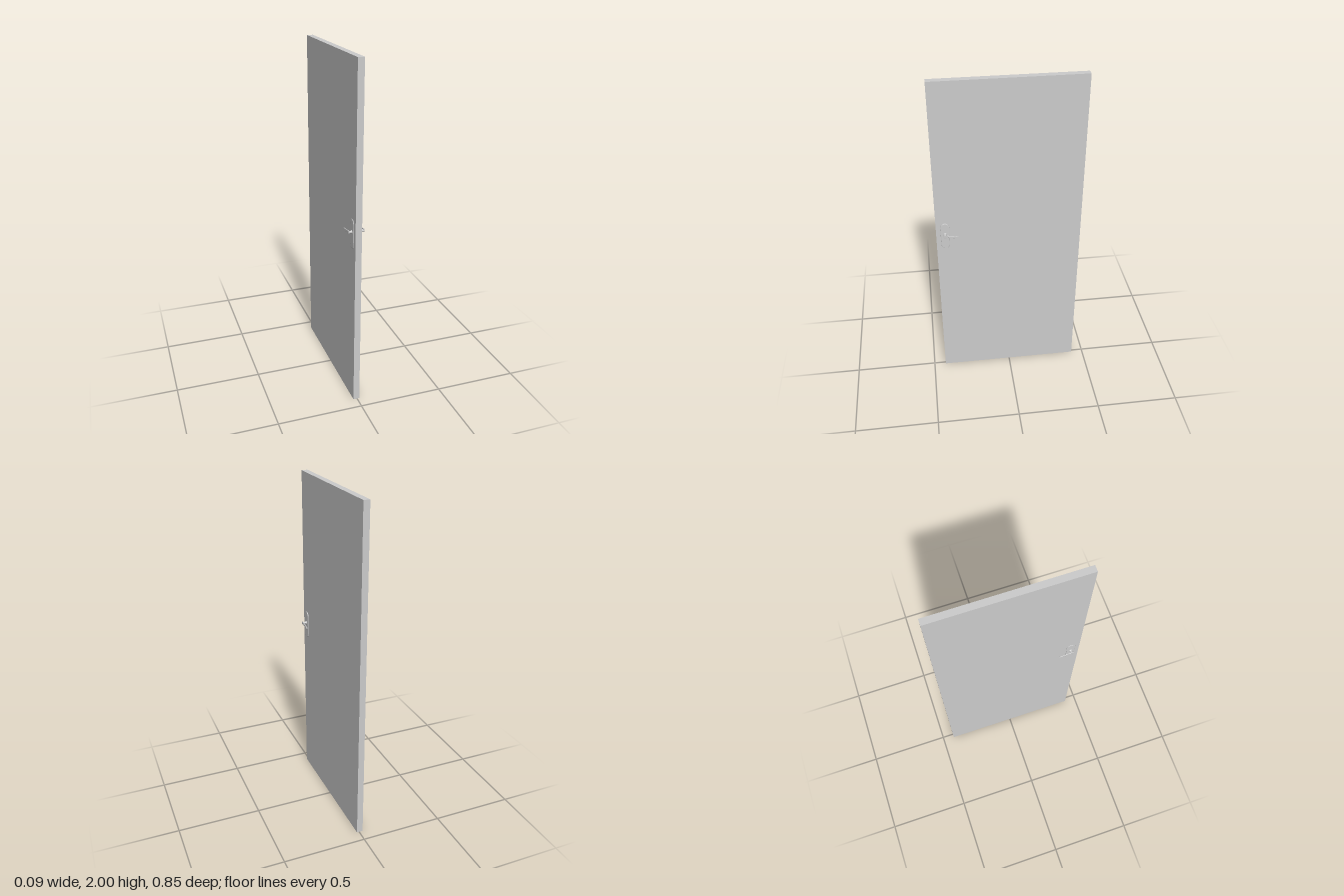
import * as THREE from 'three';

const grey = new THREE.MeshStandardMaterial({ color: 0xcccccc });

function add(parent, name, geometry) {
  const mesh = new THREE.Mesh(geometry, grey);
  mesh.name = name;
  parent.add(mesh);
  return mesh;
}

// Tall plate outline: rounded top, gently tapered sides, blunt chamfered foot
function plateShape() {
  const s = new THREE.Shape();
  s.moveTo(-0.012, -0.085);
  s.lineTo(0.012, -0.085);
  s.lineTo(0.022, -0.076);
  s.lineTo(0.025, -0.06);
  s.lineTo(0.027, 0.055);
  s.absellipse(0, 0.055, 0.027, 0.03, 0, Math.PI, false);
  s.lineTo(-0.025, -0.06);
  s.lineTo(-0.022, -0.076);
  return s;
}

// Slim lever outline running towards the hinge side, drooping to a round tip
function leverShape(dir) {
  const s = new THREE.Shape();
  s.moveTo(-0.01 * dir, 0.009);
  s.lineTo(-0.01 * dir, -0.004);
  s.lineTo(0.012 * dir, -0.006);
  s.lineTo(0.066 * dir, -0.017);
  s.quadraticCurveTo(0.076 * dir, -0.018, 0.076 * dir, -0.009);
  s.quadraticCurveTo(0.076 * dir, -0.001, 0.066 * dir, -0.002);
  s.lineTo(0.012 * dir, 0.007);
  return s;
}

// One handle set; local +z points away from the door face
function handleSet(name, side, faceX, plateDepth, reach) {
  const set = new THREE.Group();
  set.name = name;

  const bevel = plateDepth * 0.5;
  const plate = add(set, 'backPlate', new THREE.ExtrudeGeometry(plateShape(), {
    depth: plateDepth - bevel, bevelEnabled: true, bevelThickness: bevel,
    bevelSize: 0.003, bevelOffset: -0.003, bevelSegments: 2, curveSegments: 8,
  }));
  plate.position.y = 1.05;

  // Spindle flares at the plate and again where it meets the lever
  const profile = [[0.011, 0], [0.011, 0.1], [0.007, 0.25], [0.007, 0.75], [0.01, 0.95], [0.009, 1], [0, 1]]
    .map(([r, t]) => new THREE.Vector2(r, plateDepth * 0.8 + t * (reach - plateDepth * 0.8)));
  const spindle = add(set, 'spindle', new THREE.LatheGeometry(profile, 16));
  spindle.rotation.x = Math.PI / 2;
  spindle.position.y = 1.06;

  const lever = add(set, 'lever', new THREE.ExtrudeGeometry(leverShape(side), {
    depth: 0.002, bevelEnabled: true, bevelThickness: 0.0015, bevelSize: 0.0015,
    bevelOffset: -0.0015, bevelSegments: 2, curveSegments: 6,
  }));
  lever.position.set(0, 1.062, reach - 0.0035);

  set.rotation.y = side * Math.PI / 2;
  set.position.set(faceX, 0, 0.375);
  return set;
}

export function createModel() {
  const door = new THREE.Group();
  door.name = 'door';

  // Plain flat slab
  const slab = add(door, 'doorSlab', new THREE.BoxGeometry(0.037, 2, 0.854));
  slab.position.set(-0.0045, 1, 0);

  // A handle set on each face
  door.add(handleSet('leftHandle', 1, 0.014, 0.005, 0.032));
  door.add(handleSet('rightHandle', -1, -0.023, 0.003, 0.024));
  return door;
}
